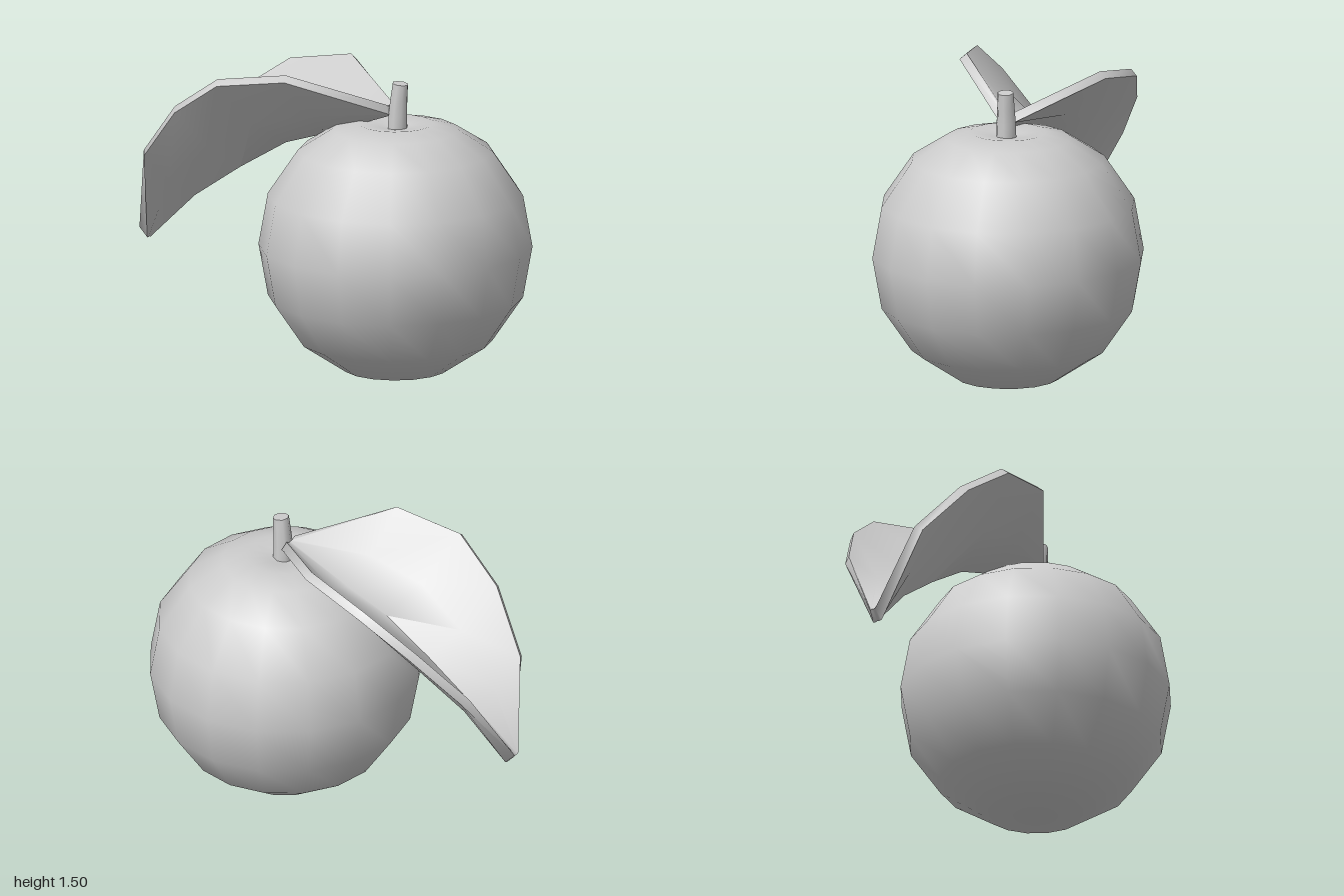
import * as THREE from 'three';
import { toCreasedNormals } from 'three/addons/utils/BufferGeometryUtils.js';

const V = (x, y, z) => new THREE.Vector3(x, y, z);
const grey = new THREE.MeshStandardMaterial({ color: 0xcccccc });
grey.name = 'pale grey';

function addMesh(group, name, geometry) {
  const mesh = new THREE.Mesh(geometry, grey);
  mesh.name = name;
  group.add(mesh);
  return mesh;
}

// Round fruit with a shallow dimple under the stem
function fruitGeometry() {
  const profile = [
    [0, 0], [0.06, 0.002], [0.25, 0.035], [0.465, 0.178], [0.61, 0.39], [0.655, 0.64],
    [0.61, 0.89], [0.465, 1.105], [0.3, 1.21], [0.18, 1.24], [0.08, 1.225], [0, 1.21],
  ].map(([r, y]) => new THREE.Vector2(r, y));
  return new THREE.LatheGeometry(profile, 16);
}

// Stem: a cylinder whose rings are widened and shifted
function stemGeometry() {
  const rings = [[1.438, 0.373, 0.039], [1.36, 0.365, 0.043], [1.29, 0.36, 0.047], [1.2, 0.358, 0.05]];
  const geo = new THREE.CylinderGeometry(1, 1, 3, 8, 3);
  const p = geo.attributes.position;
  for (let i = 0; i < p.count; i++) {
    const [y, cx, r] = rings[Math.round(1.5 - p.getY(i))];
    const x = p.getX(i) * r;
    p.setXYZ(i, cx + x, y - x * 0.12, 0.005 + p.getZ(i) * r);
  }
  return toCreasedNormals(geo, 0.9);
}

// Folded leaf: each station has a rear edge, a midrib, a front edge and a thickness
function leafGeometry() {
  const stations = [
    [V(0.33, 1.295, -0.05), V(0.33, 1.28, 0), V(0.33, 1.295, 0.055), 0.045],
    [V(-0.04, 1.43, -0.385), V(-0.02, 1.15, -0.01), V(-0.08, 1.47, 0.345), 0.045],
    [V(-0.39, 1.36, -0.45), V(-0.24, 1.08, -0.02), V(-0.42, 1.425, 0.38), 0.045],
    [V(-0.64, 1.19, -0.39), V(-0.48, 0.935, -0.02), V(-0.67, 1.255, 0.32), 0.045],
    [V(-0.86, 0.95, -0.265), V(-0.72, 0.77, -0.02), V(-0.885, 0.995, 0.205), 0.045],
    [V(-0.955, 0.545, -0.035), V(-0.955, 0.545, -0.01), V(-0.955, 0.545, 0.015), 0.064],
  ];
  const loops = stations.map(([rear, mid, front, t], i) => {
    // five points across, sagging between midrib and edges
    const sag = (edge) => mid.clone().lerp(edge, 0.5).add(V(0, -0.12 * Math.abs(edge.z), 0));
    const under = [rear, sag(rear), mid, sag(front), front];
    const a = stations[Math.max(i - 1, 0)][1], b = stations[Math.min(i + 1, 5)][1];
    const along = b.clone().sub(a).normalize();
    const upper = under.map((p, k) => {
      const across = under[Math.min(k + 1, 4)].clone().sub(under[Math.max(k - 1, 0)]);
      return p.clone().addScaledVector(along.clone().cross(across).normalize(), t);
    });
    return [...under, ...upper.reverse()];
  });
  const count = 10;
  const index = [];
  for (let i = 0; i < 5; i++) {
    for (let k = 0; k < count; k++) {
      const a = i * count + k, b = i * count + (k + 1) % count;
      index.push(a, b, a + count, b, b + count, a + count);
    }
  }
  // close the stem end and the tip
  for (let k = 0; k < 4; k++) {
    const a = k, b = k + 1, c = 8 - k, d = 9 - k, e = 50;
    index.push(a, c, b, a, d, c, e + a, e + b, e + c, e + a, e + c, e + d);
  }
  const geo = new THREE.BufferGeometry();
  geo.setAttribute('position', new THREE.Float32BufferAttribute(loops.flat().flatMap((p) => p.toArray()), 3));
  geo.setIndex(index);
  return toCreasedNormals(geo, 1.25);
}

export function createModel() {
  const model = new THREE.Group();
  model.name = 'fruit with leaf';
  addMesh(model, 'fruit', fruitGeometry()).position.x = 0.345;
  addMesh(model, 'stem', stemGeometry());
  addMesh(model, 'leaf', leafGeometry());
  return model;
}
